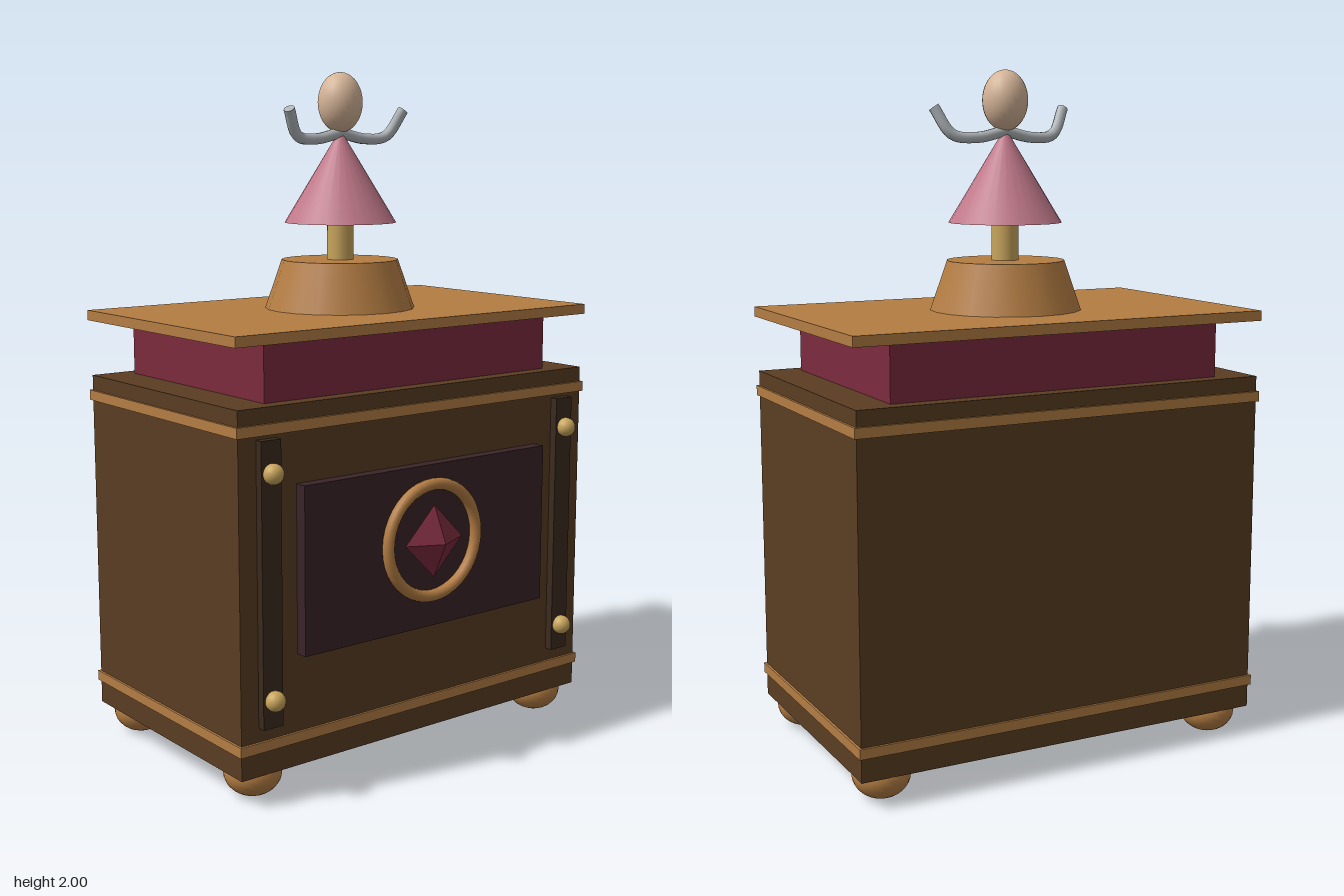
import * as THREE from 'three';

const material = (name, color) => new THREE.MeshStandardMaterial({ name, color });

export function createModel() {
  const model = new THREE.Group();
  model.name = 'musicBox';

  const darkWood = material('dark wood', 0x5a3d22);
  const lightWood = material('light wood', 0xb47d43);
  const crimson = material('crimson', 0x7c2b3e);
  const panelWood = material('panel wood', 0x3a2428);
  const railWood = material('rail wood', 0x3b2a1e);
  const brass = material('brass', 0xc9a55c);
  const pink = material('pink', 0xc27a8b);
  const skin = material('skin', 0xd6b598);
  const silver = material('silver', 0xb0b5b8);
  const flatCrimson = crimson;

  const cz = -0.048; // depth centre of the cabinet

  function add(name, geometry, mat, x = 0, y = 0, z = 0) {
    const mesh = new THREE.Mesh(geometry, mat);
    mesh.name = name;
    mesh.position.set(x, y, z);
    model.add(mesh);
    return mesh;
  }
  // box spanning y0..y1
  const slab = (name, mat, w, y0, y1, d, x = 0, z = cz) =>
    add(name, new THREE.BoxGeometry(w, y1 - y0, d), mat, x, (y0 + y1) / 2, z);

  // Cabinet, trim bands, neck and lid
  slab('cabinet', darkWood, 1.274, 0.085, 1.11, 0.776);
  slab('lowerTrim', lightWood, 1.288, 0.155, 0.185, 0.79);
  slab('upperTrim', lightWood, 1.288, 1.035, 1.065, 0.79);
  slab('neck', crimson, 1.04, 1.11, 1.275, 0.684);
  slab('lid', lightWood, 1.29, 1.275, 1.305, 0.788);

  // Squashed bun feet
  for (const x of [-0.545, 0.545]) {
    for (const z of [0.257, -0.353]) {
      add('foot', new THREE.SphereGeometry(0.083, 24, 16), lightWood, x, 0.068, z).scale.y = 0.82;
    }
  }

  // Front rails with brass knobs
  for (const x of [-0.547, 0.547]) {
    slab('rail', railWood, 0.065, 0.225, 1.025, 0.035, x, 0.3465);
    for (const y of [0.305, 0.935]) {
      add('knob', new THREE.SphereGeometry(0.029, 20, 14), brass, x, y, 0.374);
    }
  }

  // Front panel with ring and gem
  slab('frontPanel', panelWood, 0.896, 0.41, 0.89, 0.045, 0, 0.3545);
  add('ring', new THREE.TorusGeometry(0.165, 0.0175, 12, 40), lightWood, 0, 0.67, 0.388);
  add('gem', new THREE.OctahedronGeometry(0.107), flatCrimson, 0, 0.668, 0.393).scale.z = 0.48;

  // Pedestal and post
  add('pedestal', new THREE.CylinderGeometry(0.175, 0.225, 0.145, 20), lightWood, 0, 1.3775, cz - 0.003);
  add('post', new THREE.CylinderGeometry(0.04, 0.04, 0.14, 20), brass, 0, 1.51, cz);

  // Dancer
  add('skirt', new THREE.ConeGeometry(0.167, 0.275, 28), pink, 0, 1.6975, cz);
  add('head', new THREE.SphereGeometry(0.067, 24, 18), skin, 0, 1.912, cz).scale.y = 1.31;

  // Raised arms, capped at the hands
  for (const s of [-1, 1]) {
    const path = new THREE.CatmullRomCurve3([
      [0, 1.825, cz], [0.09, 1.806, cz + 0.002], [0.165, 1.815, cz + 0.012], [0.212, 1.892, -0.012],
    ].map(([x, y, z]) => new THREE.Vector3(s * x, y, z)));
    add('arm', new THREE.TubeGeometry(path, 20, 0.0165, 10), silver);
    const end = path.getPoint(1);
    const hand = add('armEnd', new THREE.CircleGeometry(0.0165, 10), silver, end.x, end.y, end.z);
    hand.quaternion.setFromUnitVectors(new THREE.Vector3(0, 0, 1), path.getTangent(1));
  }

  return model;
}
